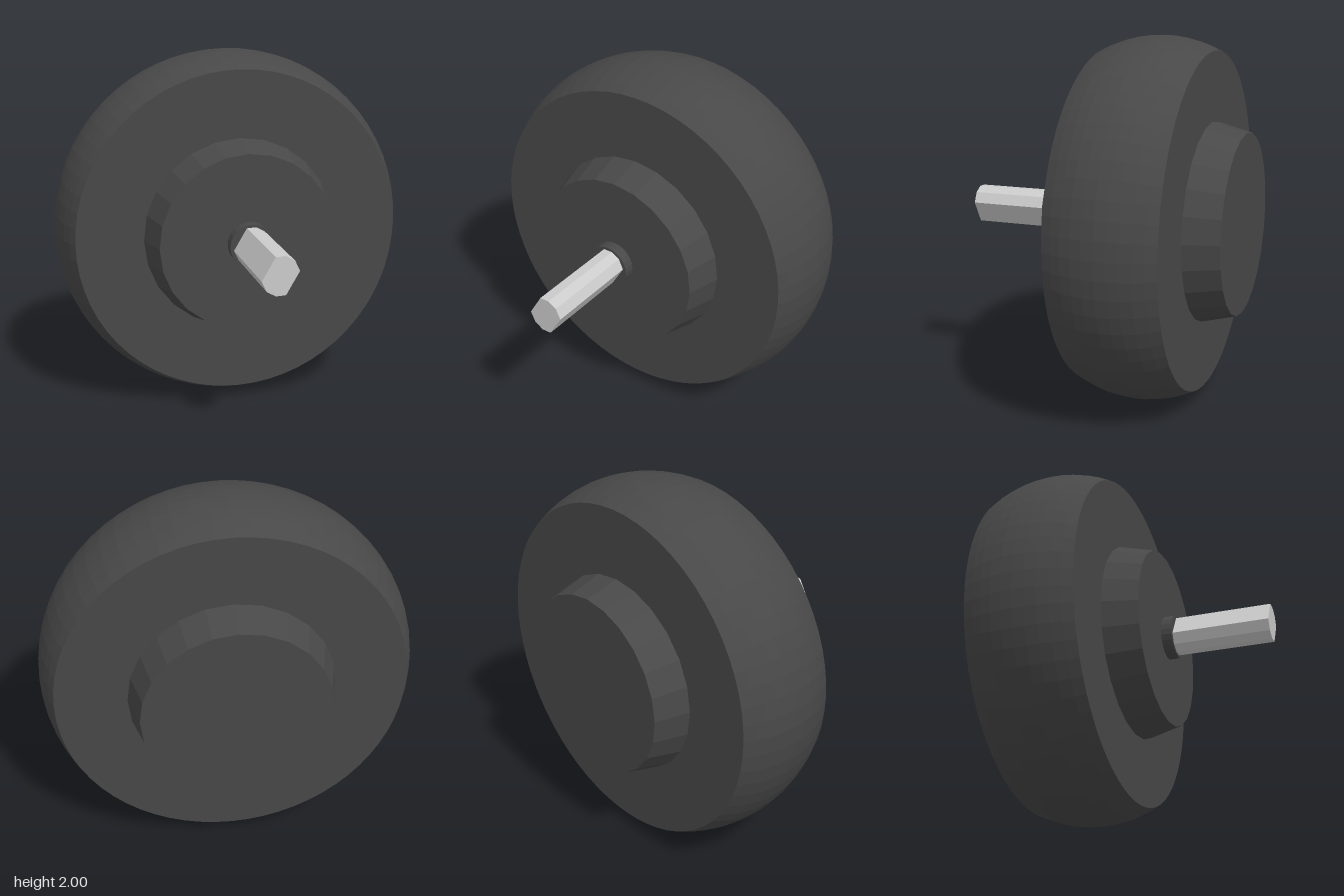
import * as THREE from 'three';

const rubber = new THREE.MeshStandardMaterial({ color: 0x484848, flatShading: true });
const metal = new THREE.MeshStandardMaterial({ color: 0xcccccc, flatShading: true });

// Solid of revolution about the z axis; profile is [radius, z] from back to front.
function turned(name, profile, sides) {
  const points = profile.map(([r, z]) => new THREE.Vector2(r, z));
  const geometry = new THREE.LatheGeometry(points, sides).rotateX(Math.PI / 2);
  const mesh = new THREE.Mesh(geometry, rubber);
  mesh.name = name;
  return mesh;
}

export function createModel() {
  const group = new THREE.Group();
  group.name = 'wheel';
  group.position.y = 1;

  // Tyre with a crowned tread and flat sidewalls
  const back = -0.597, front = 0, middle = (back + front) / 2, half = (front - back) / 2;
  const crownRadius = 0.63, steps = 10;
  const tread = [[0, back]];
  for (let i = 0; i <= steps; i++) {
    const a = Math.asin(half / crownRadius) * (i / steps * 2 - 1);
    tread.push([1 - crownRadius + crownRadius * Math.cos(a), middle + crownRadius * Math.sin(a)]);
  }
  tread.push([0, front]);
  group.add(turned('tyre', tread, 64));

  // Tapered hubs on both faces
  group.add(turned('frontHub', [[0.547, front], [0.497, 0.19], [0, 0.19]], 24));
  group.add(turned('backHub', [[0, -0.787], [0.497, -0.787], [0.547, back]], 24));

  // Collar around the axle
  group.add(turned('collar', [[0.12, 0.19], [0.12, 0.25], [0, 0.25]], 24));

  // Axle with two opposite flats
  const side = [[0.1, 0.02], [0.073, 0.077], [0.025, 0.104], [-0.028, 0.102]];
  const outline = [...side, ...side.map(([x, y]) => [-x, -y])];
  const shape = new THREE.Shape(outline.map(([x, y]) => new THREE.Vector2(x, y)));
  const axle = new THREE.Mesh(
    new THREE.ExtrudeGeometry(shape, { depth: 0.597, bevelEnabled: false }).translate(0, 0, 0.19), metal);
  axle.name = 'axle';
  group.add(axle);

  const model = new THREE.Group();
  model.add(group);
  return model;
}
